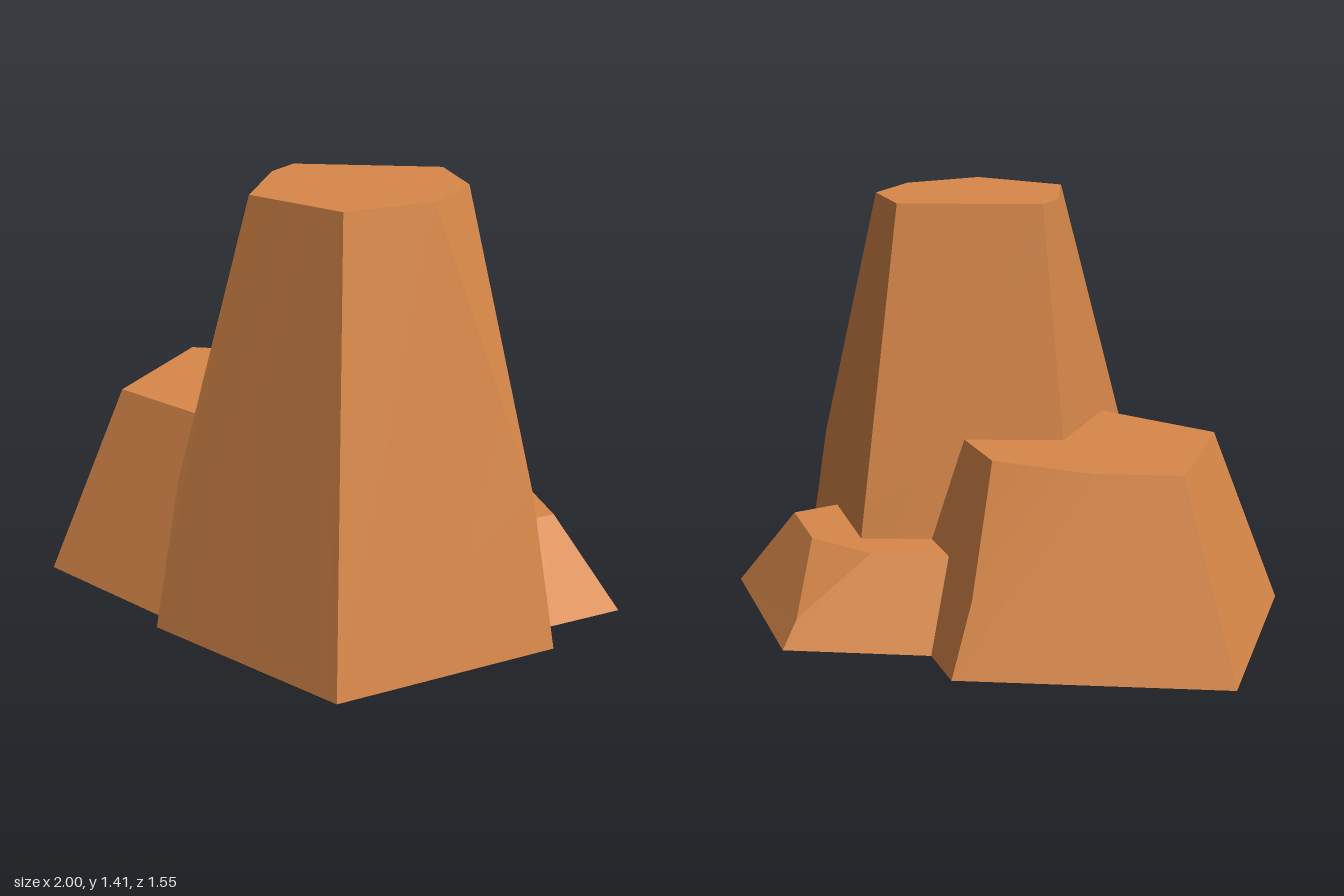
import * as THREE from 'three';
import { toCreasedNormals } from 'three/addons/utils/BufferGeometryUtils.js';

// Each corner, counter-clockwise from above: base [x, z], top [x, z].
// A chipped corner has a mid point [x, y, z] and two top points.
const ROCKS = [
  { name: 'tallRock', height: 1.414, corners: [
    { base: [0.01, 0.77], mid: [0.05, 0.49, 0.7], top: [[0, 0.24], [0.24, 0.555]] },
    { base: [0.795, 0.73], top: [[0.62, 0.535]] },
    { base: [1, -0.02], mid: [0.915, 0.49, 0], top: [[0.7, 0.235], [0.59, -0.04]] },
    { base: [0.34, -0.445], top: [[0.33, -0.205]] },
    { base: [-0.265, 0.045], top: [[-0.05, 0.1]] },
  ] },
  { name: 'mediumRock', height: 0.628, corners: [
    { base: [-0.625, 0.715], top: [[-0.495, 0.49]] },
    { base: [0.2, 0.705], top: [[0.06, 0.48]] },
    { base: [0.45, -0.19], top: [[0.2, -0.08]] },
    { base: [-0.27, -0.61], mid: [-0.27, 0.24, -0.51], top: [[-0.155, -0.28], [-0.5, -0.19]] },
    { base: [-1, -0.095], top: [[-0.73, -0.02]] },
  ] },
  { name: 'smallRock', height: 0.288, corners: [
    { base: [0.965, -0.4], top: [[0.73, -0.34]] },
    { base: [0.325, -0.78], mid: [0.325, 0.09, -0.715], top: [[0.47, -0.5], [0.2, -0.49]] },
    { base: [-0.28, -0.36], top: [[-0.08, -0.3]] },
    { base: [0, 0.33], top: [[0.1, 0.1]] },
    { base: [0.76, 0.31], top: [[0.62, 0.05]] },
  ] },
];

const fan = (poly) => poly.slice(2).map((p, i) => [poly[0], poly[i + 1], p]);

// Triangles of one rock: walls, corner chips and the flat top, open below
function rockTriangles({ height, corners }) {
  const pts = corners.map((c) => ({
    base: new THREE.Vector3(c.base[0], 0, c.base[1]),
    mid: c.mid ? [new THREE.Vector3(...c.mid)] : [],
    top: c.top.map(([x, z]) => new THREE.Vector3(x, height, z)),
  }));
  const tris = [];
  pts.forEach((a, i) => {
    const b = pts[(i + 1) % pts.length];
    tris.push(...fan([a.base, b.base, ...b.mid, b.top[0], a.top[a.top.length - 1], ...a.mid]));
    if (a.mid.length) tris.push([a.mid[0], a.top[1], a.top[0]]);
  });
  tris.push(...fan(pts.flatMap((p) => p.top)));
  return tris;
}

// Split a polygon by a plane into its outer and inner pieces
function split(poly, plane) {
  const outer = [], inner = [];
  poly.forEach((p, i) => {
    const q = poly[(i + 1) % poly.length];
    const dp = plane.distanceToPoint(p), dq = plane.distanceToPoint(q);
    if (dp >= 0) outer.push(p);
    if (dp <= 0) inner.push(p);
    if (dp * dq < 0) {
      const cut = p.clone().lerp(q, dp / (dp - dq));
      outer.push(cut);
      inner.push(cut);
    }
  });
  return { outer, inner };
}

// Pieces of a polygon lying outside a convex rock
function outside(poly, planes) {
  if (planes.every((pl) => poly.some((p) => pl.distanceToPoint(p) < 0)) === false) return [poly];
  const kept = [];
  let rest = poly;
  for (const plane of planes) {
    const { outer, inner } = split(rest, plane);
    if (outer.length > 2) kept.push(outer);
    rest = inner;
    if (rest.length < 3) break;
  }
  return kept;
}

export function createModel() {
  const group = new THREE.Group();
  group.name = 'rockCluster';
  const clay = new THREE.MeshStandardMaterial({ color: 0xd88849, side: THREE.DoubleSide });
  clay.name = 'orangeClay';

  const shells = ROCKS.map(rockTriangles);
  const planes = shells.map((tris) => tris.map((t) => new THREE.Plane().setFromCoplanarPoints(...t)));

  // Merge the rocks into one hollow shell by dropping walls buried in a neighbour
  ROCKS.forEach((rock, r) => {
    let polys = shells[r];
    planes.forEach((other, o) => {
      if (o !== r) polys = polys.flatMap((p) => outside(p, other));
    });
    const tris = polys.flatMap(fan).filter((t) => new THREE.Triangle(...t).getArea() > 1e-7);
    const geometry = new THREE.BufferGeometry().setFromPoints(tris.flat());
    geometry.computeVertexNormals();
    const mesh = new THREE.Mesh(toCreasedNormals(geometry, 0.5), clay);
    mesh.name = rock.name;
    group.add(mesh);
  });
  return group;
}
